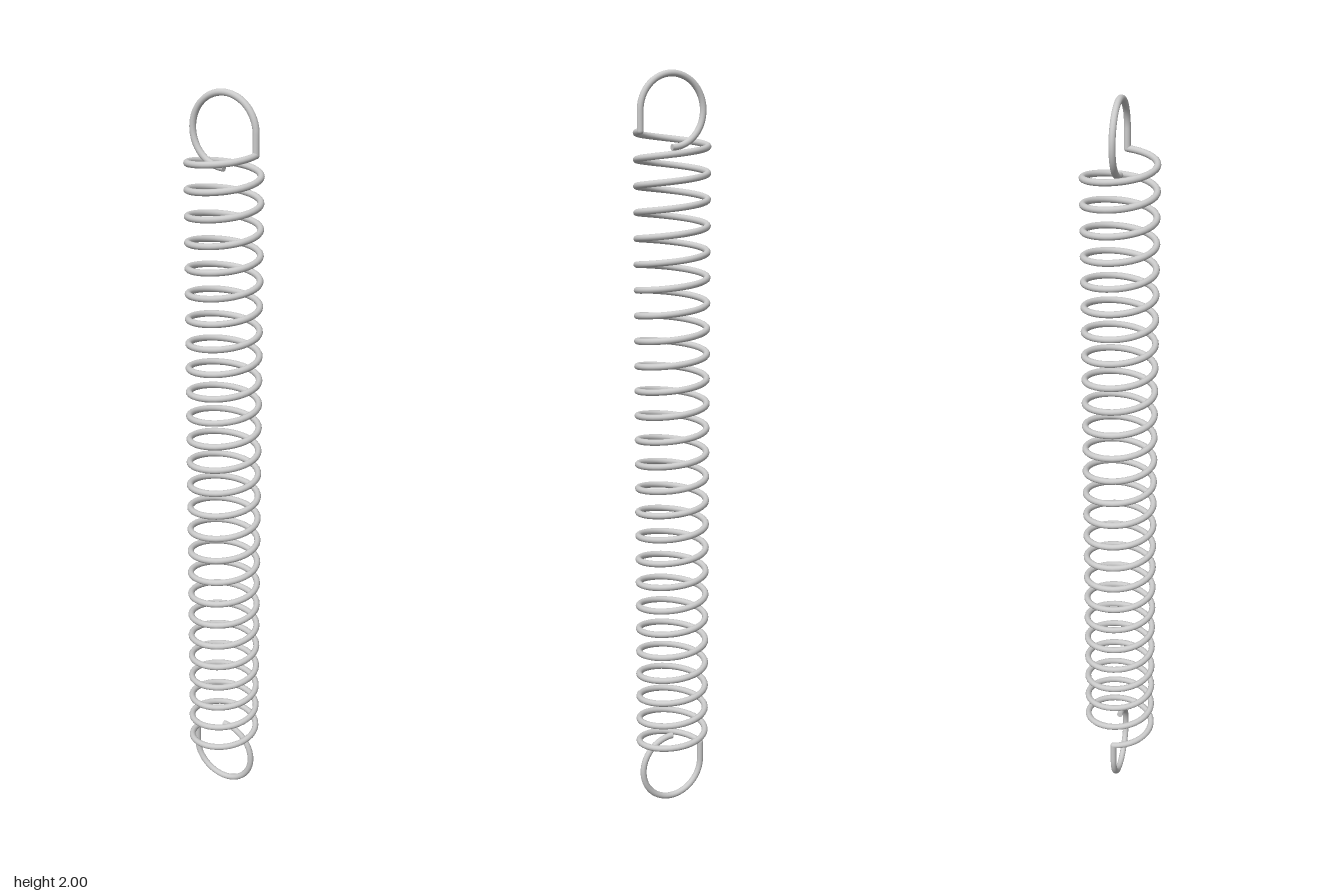
import * as THREE from 'three';

const WIRE = 0.0085;      // wire radius
const R = 0.0915;         // coil and hook centreline radius
const TURNS = 25.5;
const Y0 = 0.15, Y1 = 1.85;
const SIDES = 12;

// Coil centreline: starts at -x, passes the front first, ends at +x
class Helix extends THREE.Curve {
  getPoint(t, target = new THREE.Vector3()) {
    const a = t * TURNS * Math.PI * 2;
    return target.set(-R * Math.cos(a), Y0 + t * (Y1 - Y0), R * Math.sin(a));
  }
  getPointAt(t, target) { return this.getPoint(t, target); }
  getTangentAt(t, target) { return this.getTangent(t, target); }
}

// Hook centreline: short straight rise, then three quarters of a circle
class Hook extends THREE.Curve {
  getPoint(t, target = new THREE.Vector3()) {
    const rise = 2 - WIRE - R - Y1;
    const s = t * (rise + 1.5 * Math.PI * R);
    if (s < rise) return target.set(R, Y1 + s, 0);
    const a = (s - rise) / R;
    return target.set(R * Math.cos(a), Y1 + rise + R * Math.sin(a), 0);
  }
}

export function createModel() {
  const model = new THREE.Group();
  model.name = 'extensionSpring';
  const material = new THREE.MeshStandardMaterial({ color: 0xcccccc });

  const add = (parent, name, geometry) => {
    const mesh = new THREE.Mesh(geometry, material);
    mesh.name = name;
    parent.add(mesh);
    return mesh;
  };

  add(model, 'coil', new THREE.TubeGeometry(new Helix(), Math.round(TURNS * 36), WIRE, SIDES));

  const hookCurve = new Hook();
  const hookTube = new THREE.TubeGeometry(hookCurve, 56, WIRE, SIDES);
  const elbow = new THREE.SphereGeometry(WIRE, SIDES, 8);
  const cap = new THREE.CircleGeometry(WIRE, SIDES);

  // The lower hook is the upper one turned half round about the middle
  for (const upper of [true, false]) {
    const hook = new THREE.Group();
    hook.name = upper ? 'upperHook' : 'lowerHook';
    add(hook, 'hookLoop', hookTube);
    add(hook, 'hookElbow', elbow).position.set(R, Y1, 0);
    const end = add(hook, 'hookEnd', cap);
    end.position.copy(hookCurve.getPoint(1));
    end.rotation.y = Math.PI / 2;
    if (!upper) {
      hook.rotation.z = Math.PI;
      hook.position.y = 2;
    }
    model.add(hook);
  }
  return model;
}
